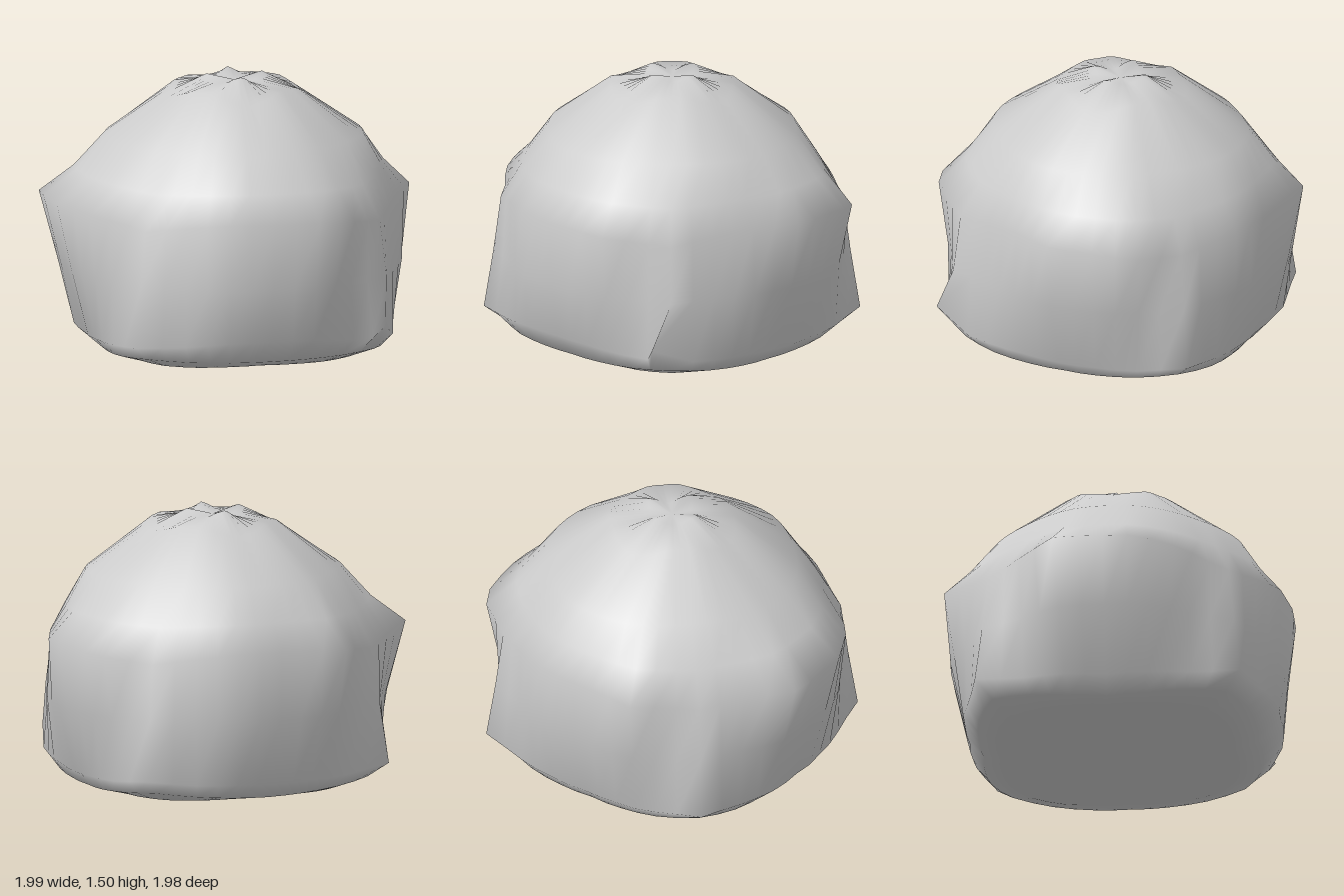
import * as THREE from 'three';

// Widest plan outline (x, z), going round from +x towards +z
const OUTLINE = [
  [0.9, 0.1], [0.88, 0.41], [0.66, 0.64], [0.42, 0.81], [0.08, 0.88], [-0.32, 0.88], [-0.6, 0.8],
  [-0.89, 0.53], [-0.89, -0.37], [-0.5, -0.74], [-0.32, -0.83], [0.31, -0.96], [0.66, -0.7], [0.85, -0.15],
];

// Distance from the centre to the outline in one direction
function outlineRadius(a) {
  const dx = Math.cos(a), dz = Math.sin(a);
  for (let i = 0; i < OUTLINE.length; i++) {
    const [ax, az] = OUTLINE[i], [bx, bz] = OUTLINE[(i + 1) % OUTLINE.length];
    const ex = bx - ax, ez = bz - az, den = dx * ez - dz * ex;
    if (Math.abs(den) < 1e-9) continue;
    const r = (ax * ez - az * ex) / den, t = (ax * dz - az * dx) / den;
    if (r > 0 && t >= -1e-6 && t <= 1 + 1e-6) return r;
  }
  return 0.9;
}

// Four profile stations from a corner tip (0 degrees) to the middle of a side (45)
const STATIONS = [0, 13, 29, 45];
function atStation(values, deg) {
  const i = deg < 13 ? 0 : deg < 29 ? 1 : 2;
  return THREE.MathUtils.mapLinear(deg, STATIONS[i], STATIONS[i + 1], values[i], values[i + 1]);
}

// Rings from bottom to top: radii and heights per station; o = share of the plan outline;
// lift = how far the front left lower edge rises and swells
const level = (y) => [y, y, y, y];
const RINGS = [
  { r: [0.7, 0.68, 0.63, 0.6], y: level(0.045), o: 0, lift: 0 },
  { r: [0.87, 0.82, 0.75, 0.71], y: [0.11, 0.09, 0.07, 0.06], o: 0, lift: 0.03 },
  { r: [0.99, 0.88, 0.8, 0.76], y: [0.19, 0.16, 0.15, 0.14], o: 0.2, lift: 0.08 },
  { r: [0.94, 0.88, 0.89, 0.87], y: level(0.5), o: 0.3, lift: 0 },
  { r: [0.9, 0.9, 0.94, 0.97], y: [0.8, 0.83, 0.86, 0.86], o: 1, lift: 0 },
  { r: [0.73, 0.72, 0.72, 0.71], y: [0.98, 0.99, 1, 1], o: 0.4, lift: 0 },
  { r: [0.65, 0.66, 0.68, 0.68], y: level(1.18), o: 0, lift: 0 },
  { r: [0.32, 0.33, 0.35, 0.36], y: [1.44, 1.44, 1.41, 1.39], o: 0, lift: 0 },
  { r: [0.1, 0.11, 0.13, 0.15], y: [1.46, 1.465, 1.485, 1.5], o: 0, lift: 0 },
];

export function createModel() {
  const group = new THREE.Group();
  const pos = [], index = [], n = 48;

  // Bottom point, rings, then the dimple in the crown
  pos.push(0, 0, 0);
  RINGS.forEach((ring, i) => {
    for (let j = 0; j < n; j++) {
      const q = (j * 360 / n) % 90, deg = Math.min(q, 90 - q);
      let a = j * Math.PI * 2 / n;
      const rise = j < n / 4 ? ring.lift * Math.sin(2 * a) : 0;
      let r = THREE.MathUtils.lerp(atStation(ring.r, deg), outlineRadius(a), ring.o) + rise * 0.8;
      if (deg === 0) r = Math.max(r, ring.r[0]);
      let y = atStation(ring.y, deg) + rise;
      // One tip sits a little higher and turned
      if (j === 0 && i === 2) { a = 0.1; r = 1; y = 0.26; }
      pos.push(r * Math.cos(a), y, r * Math.sin(a));
    }
  });
  const top = pos.length / 3;
  pos.push(0, 1.46, 0);

  for (let j = 0; j < n; j++) {
    const j2 = (j + 1) % n;
    index.push(0, 1 + j, 1 + j2);
    for (let i = 0; i < RINGS.length - 1; i++) {
      const a = 1 + i * n + j, b = 1 + i * n + j2, c = a + n, d = b + n;
      index.push(a, c, b, b, c, d);
    }
    const last = 1 + (RINGS.length - 1) * n;
    index.push(last + j, top, last + j2);
  }

  const geometry = new THREE.BufferGeometry();
  geometry.setAttribute('position', new THREE.Float32BufferAttribute(pos, 3));
  geometry.setIndex(index);
  geometry.computeVertexNormals();

  const body = new THREE.Mesh(geometry, new THREE.MeshStandardMaterial({ color: 0xcccccc }));
  body.name = 'foldedHead';
  group.add(body);
  return group;
}
